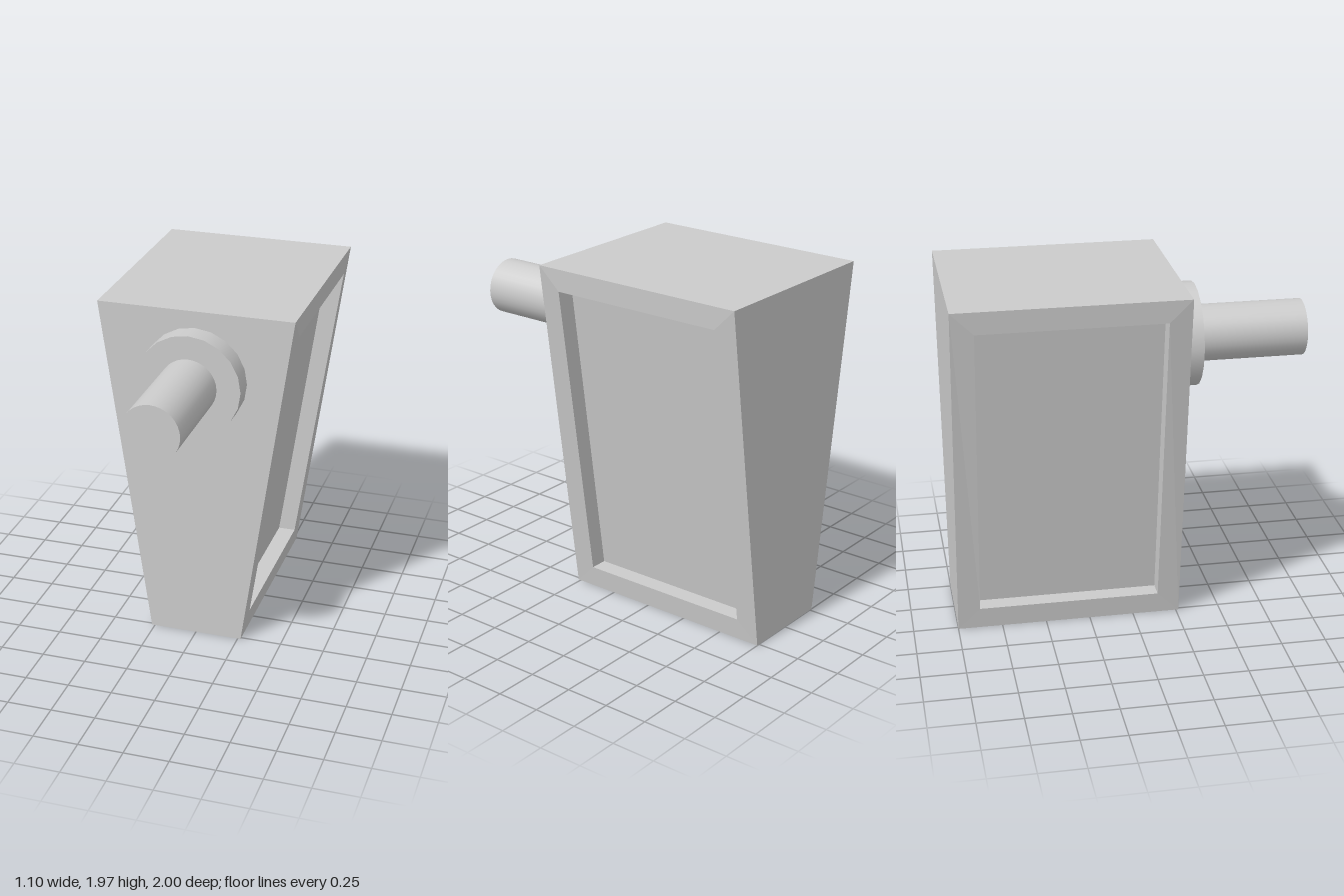
import * as THREE from 'three';

const FRONT = 0.265, BACK = -1, HEIGHT = 1.97;

// Corner loop on the +x side: bottom front, bottom back, top back, top front
function sideLoop(xLow, xHigh, inset) {
  const f = FRONT - inset, b = BACK + inset, lo = inset, hi = HEIGHT - inset;
  return [[xLow, lo, f], [xLow, lo, b], [xHigh, hi, b], [xHigh, hi, f]];
}

// Tapered housing with a recessed panel in each side
function housingGeometry() {
  const pos = [];
  const quad = (a, b, c, d) => pos.push(...a, ...b, ...c, ...a, ...c, ...d);
  const mirror = ([x, y, z]) => [-x, y, z];
  const sideQuad = (a, b, c, d) => {
    quad(a, b, c, d);
    quad(...[d, c, b, a].map(mirror));
  };

  const outer = sideLoop(0.267, 0.548, 0);
  const rim = sideLoop(0.284, 0.54, 0.125);
  const floor = sideLoop(0.184, 0.435, 0.125);

  // Border frame, recess walls and recess floor
  for (const [from, to] of [[outer, rim], [rim, floor]]) {
    for (let i = 0; i < 4; i++) {
      const j = (i + 1) % 4;
      sideQuad(from[i], from[j], to[j], to[i]);
    }
  }
  sideQuad(...floor);

  // Front, back, top and bottom
  const left = outer, right = outer.map(mirror);
  quad(right[0], left[0], left[3], right[3]);
  quad(left[1], right[1], right[2], left[2]);
  quad(right[3], left[3], left[2], right[2]);
  quad(right[1], left[1], left[0], right[0]);

  const geo = new THREE.BufferGeometry();
  geo.setAttribute('position', new THREE.Float32BufferAttribute(pos, 3));
  geo.computeVertexNormals();
  return geo;
}

export function createModel() {
  const group = new THREE.Group();
  const material = new THREE.MeshStandardMaterial({ color: 0xcccccc });

  const add = (name, geometry) => {
    const mesh = new THREE.Mesh(geometry, material);
    mesh.name = name;
    group.add(mesh);
  };
  // Cylinder running along z
  const rod = (radius, z0, z1, sides) =>
    new THREE.CylinderGeometry(radius, radius, z1 - z0, sides)
      .rotateX(Math.PI / 2)
      .translate(0, 1.587, (z0 + z1) / 2);

  add('housing', housingGeometry());
  add('collar', rod(0.29, FRONT, 0.387, 20));
  add('shaft', rod(0.158, 0.387, 1, 32));
  return group;
}
